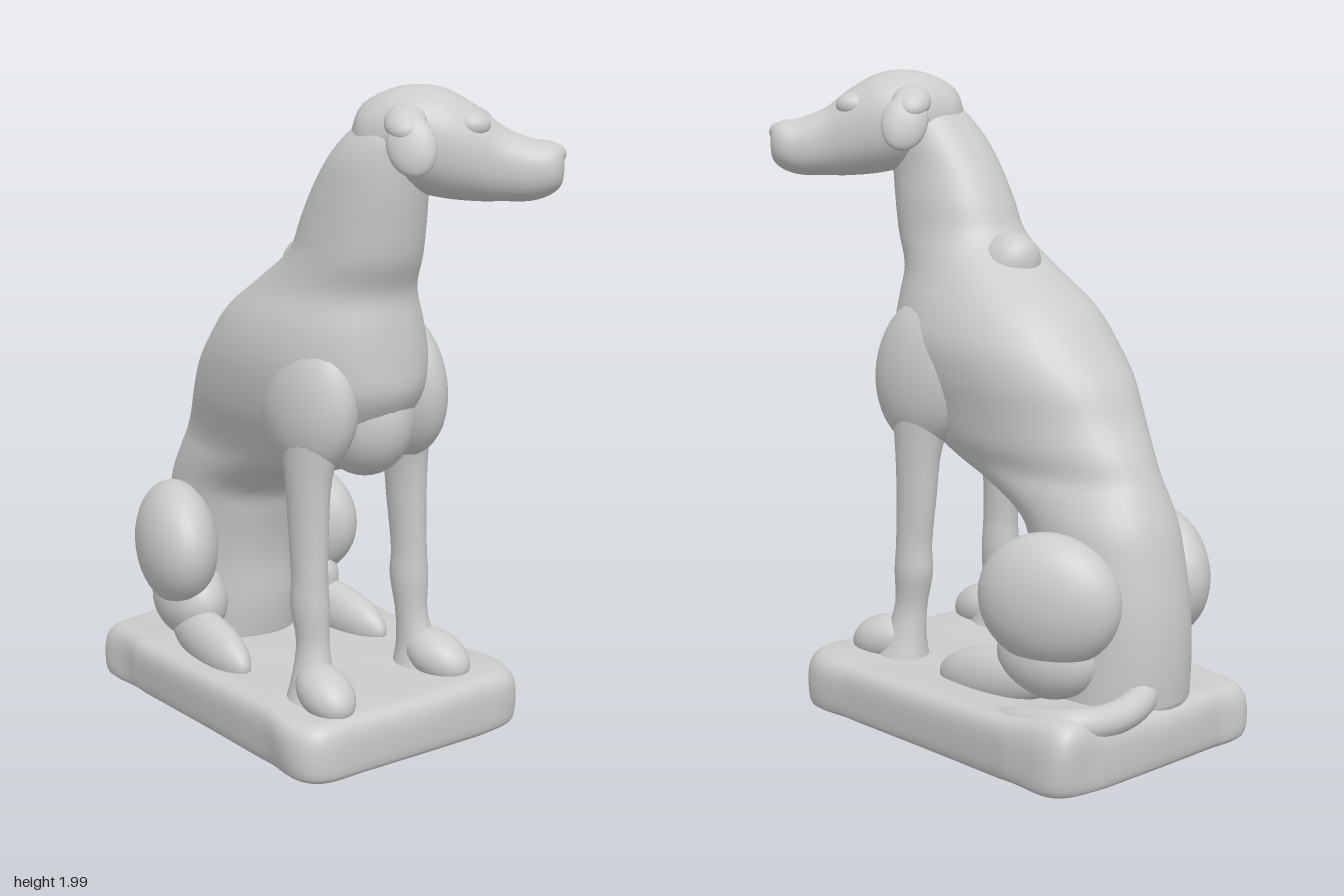
import * as THREE from 'three';

const material = new THREE.MeshStandardMaterial({ color: 0xcccccc });

// Smooth skin over stacked rings [y, x, z, radiusX, radiusZ]; power < 1 makes rings squarer
function loft(rings, { power = 1, steps = 4, sides = 40 } = {}) {
  const at = (i, k) => rings[Math.max(0, Math.min(rings.length - 1, i))][k];
  const spline = (i, t, k) => {
    const [a, b, c, d] = [at(i - 1, k), at(i, k), at(i + 1, k), at(i + 2, k)];
    return b + 0.5 * t * (c - a + t * (2 * a - 5 * b + 4 * c - d + t * (3 * (b - c) + d - a)));
  };
  const round = (v) => Math.sign(v) * Math.abs(v) ** power;
  const pos = [], index = [];
  const count = (rings.length - 1) * steps + 1;
  for (let r = 0; r < count; r++) {
    const i = Math.min(Math.floor(r / steps), rings.length - 2);
    const t = r / steps - i;
    const [y, x, z, rx, rz] = [0, 1, 2, 3, 4].map((k) => spline(i, t, k));
    for (let s = 0; s < sides; s++) {
      const a = (s / sides) * Math.PI * 2;
      pos.push(x + rx * round(Math.cos(a)), y, z + rz * round(Math.sin(a)));
      if (r === count - 1) continue;
      const p = r * sides + s, q = r * sides + ((s + 1) % sides);
      index.push(p, p + sides, q, q, p + sides, q + sides);
    }
  }
  // end caps
  const low = pos.length / 3, high = low + 1, top = (count - 1) * sides;
  const first = rings[0], last = rings[rings.length - 1];
  pos.push(first[1], first[0], first[2], last[1], last[0], last[2]);
  for (let s = 0; s < sides; s++) {
    const n = (s + 1) % sides;
    index.push(low, s, n, high, top + n, top + s);
  }
  const g = new THREE.BufferGeometry();
  g.setAttribute('position', new THREE.Float32BufferAttribute(pos, 3));
  g.setIndex(index);
  g.computeVertexNormals();
  return g;
}

function add(parent, name, geometry) {
  const mesh = new THREE.Mesh(geometry, material);
  mesh.name = name;
  parent.add(mesh);
  return mesh;
}

function blob(parent, name, center, radii, rotation = [0, 0, 0]) {
  const mesh = add(parent, name, new THREE.SphereGeometry(1, 32, 20));
  mesh.position.set(...center);
  mesh.scale.set(...radii);
  mesh.rotation.set(...rotation);
  return mesh;
}

// Weathered slab with a wavy edge and a raised back corner
function buildPlinth(parent) {
  const g = loft([
    [0.01, 0, -0.09, 0.41, 0.59], [0.03, 0, -0.09, 0.425, 0.605], [0.1, 0, -0.09, 0.43, 0.61],
    [0.15, 0, -0.09, 0.425, 0.605], [0.18, 0, -0.09, 0.405, 0.585], [0.19, 0, -0.09, 0.36, 0.54],
    [0.188, 0, -0.09, 0.22, 0.34], [0.186, 0, -0.09, 0.05, 0.08],
  ], { power: 0.2, steps: 3, sides: 120 });
  const p = g.attributes.position;
  for (let i = 0; i < p.count; i++) {
    const x = p.getX(i), y = p.getY(i), z = p.getZ(i);
    const corner = Math.exp(-(((x - 0.36) / 0.18) ** 2) - ((z + 0.6) / 0.2) ** 2);
    p.setX(i, x - 0.03 * (z + 0.09) + 0.012 * x * Math.sin(z * 17 + y * 9) * 2);
    p.setZ(i, z + 0.012 * z * Math.sin(x * 13 + y * 11));
    if (y > 0.02) p.setY(i, y + (y / 0.19) * (0.035 * corner + 0.006 * Math.sin(x * 15) * Math.sin(z * 12)));
  }
  g.computeVertexNormals();
  add(parent, 'plinth', g);
}

// Rump, belly, chest and neck in one skin
function buildBody(parent) {
  add(parent, 'body', loft([
    [0.17, -0.03, -0.46, 0.2, 0.22], [0.3, -0.03, -0.455, 0.2, 0.235],
    [0.45, -0.03, -0.45, 0.2, 0.235], [0.6, -0.03, -0.42, 0.2, 0.24],
    [0.7, -0.03, -0.385, 0.2, 0.25], [0.78, -0.035, -0.29, 0.2, 0.31],
    [0.84, -0.04, -0.19, 0.2, 0.38], [0.91, -0.04, -0.115, 0.22, 0.42],
    [1.0, -0.05, -0.055, 0.245, 0.425], [1.1, -0.05, 0, 0.265, 0.43],
    [1.2, -0.05, 0.04, 0.27, 0.39], [1.3, -0.055, 0.08, 0.245, 0.34],
    [1.4, -0.055, 0.145, 0.2, 0.265], [1.5, -0.06, 0.235, 0.173, 0.215],
    [1.6, -0.06, 0.27, 0.162, 0.2], [1.7, -0.06, 0.305, 0.15, 0.18],
    [1.8, -0.05, 0.345, 0.14, 0.15], [1.88, -0.03, 0.385, 0.11, 0.12],
    [1.94, -0.01, 0.41, 0.04, 0.05],
  ], { power: 0.92 }));
  blob(parent, 'withers', [-0.04, 1.4, 0.02], [0.1, 0.13, 0.1], [-0.7, 0, 0]);
  blob(parent, 'brisket', [-0.04, 1.02, 0.24], [0.15, 0.19, 0.17], [-0.3, 0, 0]);
}

// One side's limbs; s = 1 is the left, -1 the right
function buildLimbs(parent, s) {
  const side = s > 0 ? 'left' : 'right';
  const limbs = new THREE.Group();
  limbs.name = side + 'Limbs';
  limbs.position.x = -0.035;
  parent.add(limbs);
  const dz = s > 0 ? 0 : 0.045;

  blob(limbs, side + 'Shoulder', [s * 0.165, 1.09, 0.19], [0.115, 0.24, 0.2], [-0.25, 0, s * 0.08]);
  add(limbs, side + 'Foreleg', loft([
    [0.17, 0.225, 0.25, 0.085, 0.09], [0.25, 0.22, 0.24, 0.06, 0.07],
    [0.35, 0.21, 0.225, 0.047, 0.055], [0.46, 0.21, 0.212, 0.055, 0.066],
    [0.55, 0.21, 0.21, 0.05, 0.063], [0.7, 0.207, 0.2, 0.053, 0.072],
    [0.85, 0.203, 0.195, 0.06, 0.085], [1.0, 0.185, 0.19, 0.08, 0.12],
  ].map(([y, x, z, rx, rz]) => [y, s * x, z + dz, rx, rz]), { sides: 24 }));
  blob(limbs, side + 'Forepaw', [s * 0.235, 0.225, 0.32 + dz], [0.08, 0.075, 0.12], [0.3, s * 0.15, 0]);

  blob(limbs, side + 'Thigh', [s * 0.24, 0.5, -0.41], [0.125, 0.2, 0.225], [0, s * 0.35, 0]);
  blob(limbs, side + 'Hock', [s * 0.21, 0.32, -0.38], [0.11, 0.13, 0.17], [0, s * 0.2, 0]);
  blob(limbs, side + 'HindFoot', [s * 0.255, 0.225, -0.2], [0.07, 0.09, 0.22], [0.15, s * 0.08, 0]);
}

// Head turned to the left, with folded ears
function buildHead(parent) {
  const head = new THREE.Group();
  head.name = 'head';
  head.position.set(0.02, 1.82, 0.42);
  head.rotation.y = 0.82;
  parent.add(head);
  // rings run from the back of the skull to the nose
  const skull = loft([
    [-0.19, 0, -0.02, 0.03, 0.03], [-0.16, 0, -0.03, 0.09, 0.09], [-0.06, 0, -0.03, 0.145, 0.14],
    [0.06, 0, -0.015, 0.15, 0.155], [0.16, 0, 0.015, 0.125, 0.135], [0.24, 0, 0.045, 0.096, 0.105],
    [0.32, 0, 0.06, 0.084, 0.088], [0.375, 0, 0.055, 0.076, 0.075], [0.405, 0, 0.05, 0.05, 0.052],
    [0.412, 0, 0.05, 0.015, 0.015],
  ], { power: 0.9 });
  skull.rotateX(Math.PI / 2);
  add(head, 'skullAndMuzzle', skull);
  blob(head, 'nose', [0, -0.015, 0.385], [0.04, 0.03, 0.032]);
  for (const s of [1, -1]) {
    const side = s > 0 ? 'left' : 'right';
    blob(head, side + 'Brow', [s * 0.065, 0.07, 0.15], [0.05, 0.04, 0.055]);
    blob(head, side + 'EarRoot', [s * 0.14, 0.085, -0.03], [0.075, 0.04, 0.06], [0, 0, -s * 0.5]);
    blob(head, side + 'EarFlap', [s * 0.185, 0.025, -0.01], [0.032, 0.09, 0.07], [-0.3, 0, s * 0.3]);
  }
}

// Tail curling round on the plinth to the left
function buildTail(parent) {
  const path = new THREE.CatmullRomCurve3([
    [-0.03, 0.26, -0.58], [0.08, 0.22, -0.65], [0.2, 0.2, -0.66], [0.32, 0.2, -0.62], [0.36, 0.18, -0.48], [0.35, 0.15, -0.36],
  ].map((p) => new THREE.Vector3(...p)));
  add(parent, 'tail', new THREE.TubeGeometry(path, 40, 0.048, 16));
}

export function createModel() {
  const model = new THREE.Group();
  model.name = 'seatedDogStatue';
  buildPlinth(model);
  buildBody(model);
  for (const s of [1, -1]) buildLimbs(model, s);
  buildHead(model);
  buildTail(model);
  return model;
}
